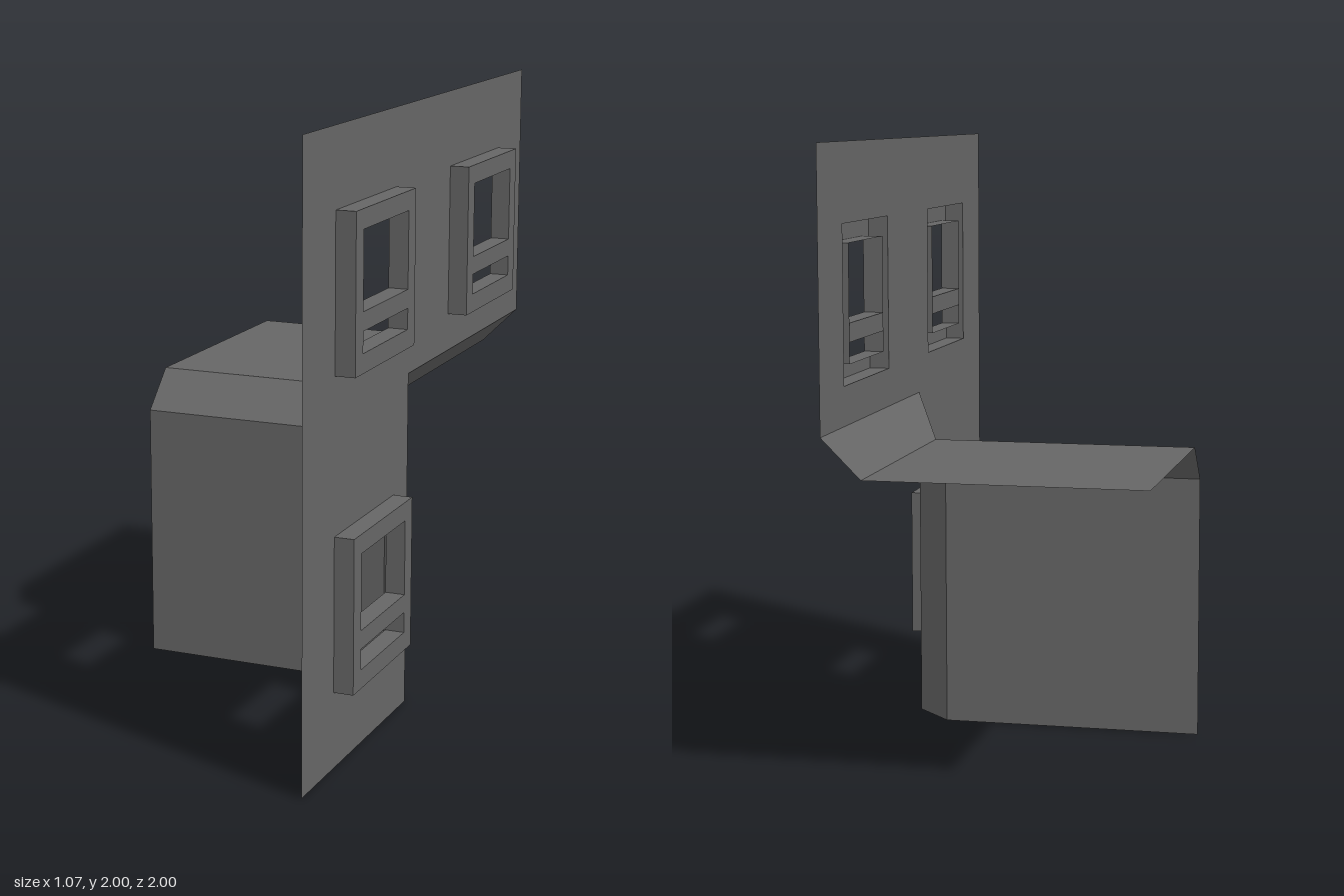
import * as THREE from 'three';

// Main planes of the corner piece
const FACE = 0.465, FRAME = 0.53, INNER = 0.34, END = -0.535;

// Flat-shaded sheet from convex polygons, each a list of [x, y, z] corners
function sheet(name, material, ...polygons) {
  const pos = [];
  for (const p of polygons)
    for (let i = 1; i < p.length - 1; i++) pos.push(...p[0], ...p[i], ...p[i + 1]);
  const g = new THREE.BufferGeometry();
  g.setAttribute('position', new THREE.Float32BufferAttribute(pos, 3));
  g.computeVertexNormals();
  const m = new THREE.Mesh(g, material);
  m.name = name;
  return m;
}

// Rectangle in the (z, y) plane as a list of points; u = -z so shapes face +x
function rect(z, y, w, h) {
  return [[z - w / 2, y - h / 2], [z + w / 2, y - h / 2], [z + w / 2, y + h / 2], [z - w / 2, y + h / 2]];
}
const toPath = (pts, Type) => new Type(pts.map(([z, y]) => new THREE.Vector2(-z, y)));

// Flat panel with holes standing at a given x
function panel(name, material, outline, holes, x) {
  const s = toPath(outline, THREE.Shape);
  s.holes = holes.map(h => toPath(h, THREE.Path));
  const g = new THREE.ShapeGeometry(s);
  g.rotateY(Math.PI / 2);
  g.translate(x, 0, 0);
  const m = new THREE.Mesh(g, material);
  m.name = name;
  return m;
}

// Four side walls joining the face plane to the frame plane
function sides(name, material, pts, inward) {
  return sheet(name, material, ...pts.map(([z, y], i) => {
    const [z2, y2] = pts[(i + 1) % 4];
    const q = [[FACE, y, z], [FRAME, y, z], [FRAME, y2, z2], [FACE, y2, z2]];
    return inward ? q : q.reverse();
  }));
}

export function createModel() {
  const group = new THREE.Group();
  const stone = new THREE.MeshStandardMaterial({ color: 0x666666, side: THREE.DoubleSide });
  stone.name = 'grey wall';

  const windows = [[0.5, 0.5], [0.5, 1.5], [-0.5, 1.5]];

  // L-shaped wall with window openings
  group.add(panel('facade', stone,
    [[1, 0], [0.125, 0], [0.125, 1.125], [-1, 1.125], [-1, 2], [1, 2]],
    windows.map(([z, y]) => rect(z, y, 0.5, 0.5)), FACE));

  // Raised window frames with a crossbar
  for (const [z, y] of windows) {
    const frame = new THREE.Group();
    frame.name = 'windowFrame';
    const outer = rect(z, y, 0.5, 0.5), opening = rect(z, y, 0.376, 0.376);
    frame.add(panel('frameFace', stone, outer, [opening], FRAME));
    frame.add(sides('frameSides', stone, outer, false));
    frame.add(sides('frameReveal', stone, opening, true));
    const bar = new THREE.Mesh(new THREE.BoxGeometry(FRAME - FACE, 0.06, 0.376), stone);
    bar.position.set((FACE + FRAME) / 2, y - 0.09, z);
    bar.name = 'crossbar';
    frame.add(bar);
    group.add(frame);
  }

  // Bevels around the inner corner
  const a = [FACE, 1.125, 0.125], b = [INNER, 0.875, 0], c = [INNER, 1, -0.125];
  group.add(sheet('uprightBevel', stone, [[FACE, 0, 0.125], [INNER, 0, 0], b, a]));
  group.add(sheet('ceilingBevel', stone, [a, c, [INNER, 1, -1], [FACE, 1.125, -1]]));
  group.add(sheet('cornerBevel', stone, [a, b, c]));

  // Return wall, sloped joint and ceiling
  group.add(sheet('returnWall', stone, [[INNER, 0, 0], [END, 0, 0], [END, 0.875, 0], b]));
  group.add(sheet('slopedJoint', stone, [b, [END, 0.875, 0], [END, 1, -0.125], c]));
  group.add(sheet('ceiling', stone, [c, [END, 1, -0.125], [END, 1, -1], [INNER, 1, -1]]));

  return group;
}
